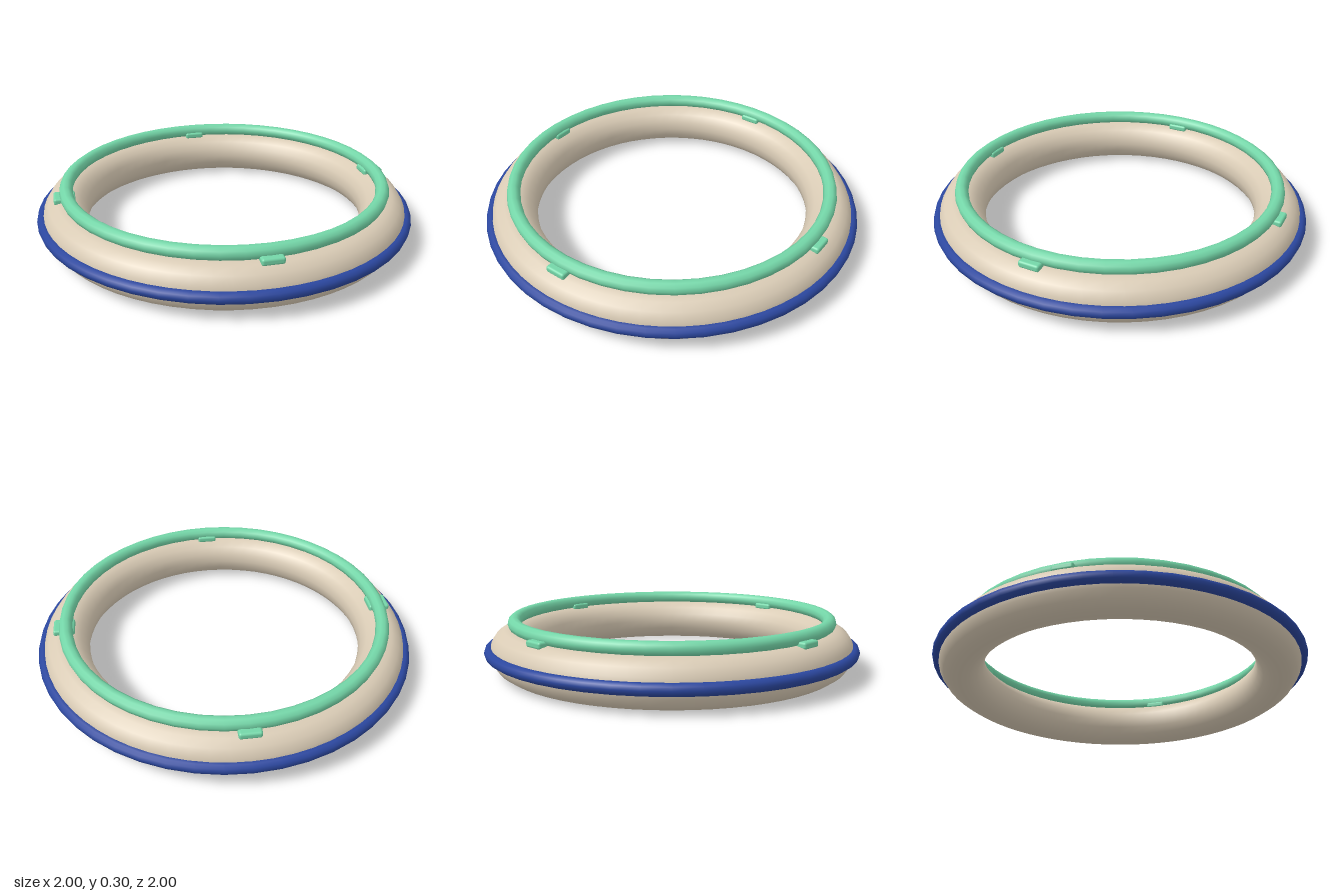
import * as THREE from 'three';
import { RoundedBoxGeometry } from 'three/addons/geometries/RoundedBoxGeometry.js';

const mat = (name, color) => {
  const m = new THREE.MeshStandardMaterial({ color });
  m.name = name;
  return m;
};

export function createModel() {
  const beige = mat('beige', 0xd9cbb5);
  const blue = mat('blue', 0x2b479f);
  const green = mat('green', 0x74d6a8);
  const model = new THREE.Group();
  model.name = 'ringFloat';

  // Horizontal ring at height y
  const ring = (name, radius, tube, y, sides, segments, material) => {
    const geometry = new THREE.TorusGeometry(radius, tube, sides, segments);
    geometry.rotateX(-Math.PI / 2);
    const mesh = new THREE.Mesh(geometry, material);
    mesh.name = name;
    mesh.position.y = y;
    model.add(mesh);
  };

  ring('mainTube', 0.85, 0.12, 0.12, 16, 64, beige);
  ring('outerBumper', 0.97, 0.03, 0.12, 10, 48, blue);
  ring('topRope', 0.84, 0.035, 0.265, 10, 48, green);

  // Four clips holding the top rope
  const clipGeometry = new RoundedBoxGeometry(0.11, 0.035, 0.11, 3, 0.012);
  for (let i = 0; i < 4; i++) {
    const angle = (i * Math.PI) / 2;
    const clip = new THREE.Mesh(clipGeometry, green);
    clip.name = 'ropeClip' + (i + 1);
    clip.position.set(Math.sin(angle) * 0.85, 0.241, Math.cos(angle) * 0.85);
    clip.rotation.y = angle;
    model.add(clip);
  }
  return model;
}
